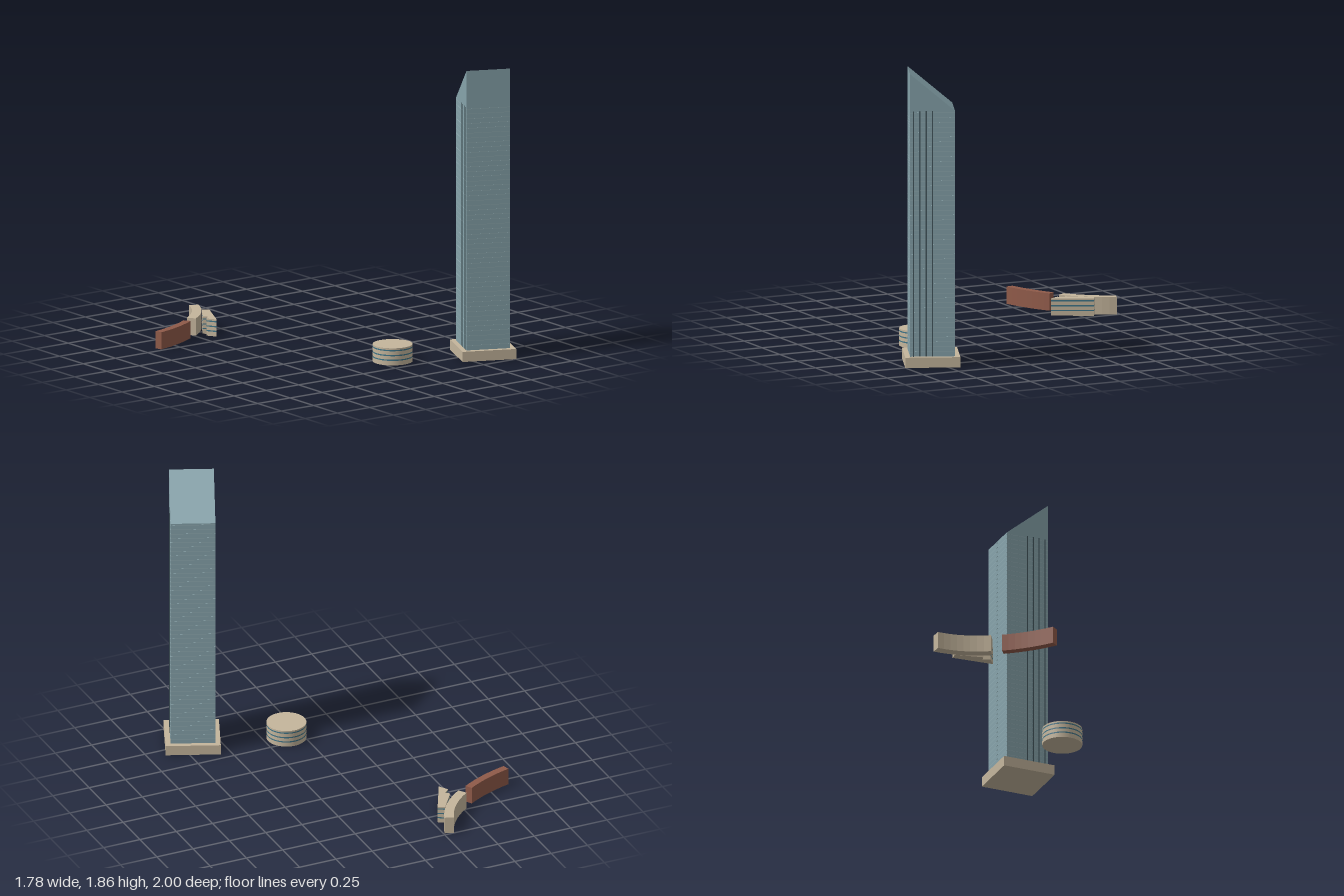
import * as THREE from 'three';

const mat = (color) => new THREE.MeshStandardMaterial({ color });
const stone = mat(0xc4b59c);
const glass = mat(0x86a3ab);
const bandGlass = mat(0x3f7488);
const brick = mat(0x8f5a49);
const fin = mat(0x43575e);
const floorLine = mat(0x93adb3);

function add(parent, name, geometry, material, x = 0, y = 0, z = 0) {
  const mesh = new THREE.Mesh(geometry, material);
  mesh.name = name;
  mesh.position.set(x, y, z);
  parent.add(mesh);
  return mesh;
}

// Upright prism over a ground plan given as [x, z] corners
function prism(plan, height) {
  const shape = new THREE.Shape(plan.map(([x, z]) => new THREE.Vector2(x, -z)));
  return new THREE.ExtrudeGeometry(shape, { depth: height, bevelEnabled: false }).rotateX(-Math.PI / 2);
}

// Ground plan of a wing following a gentle curve from a to b
function curvedPlan(a, c, b, width, steps = 8) {
  const curve = new THREE.QuadraticBezierCurve(new THREE.Vector2(...a), new THREE.Vector2(...c), new THREE.Vector2(...b));
  const near = [], far = [];
  for (let i = 0; i <= steps; i++) {
    const p = curve.getPoint(i / steps), t = curve.getTangent(i / steps);
    near.push([p.x - t.y * width / 2, p.y + t.x * width / 2]);
    far.unshift([p.x + t.y * width / 2, p.y - t.x * width / 2]);
  }
  return [...near, ...far];
}

// Alternating stone storeys and window bands; make(height) returns a slab resting on y = 0
function stackStoreys(name, make) {
  const group = new THREE.Group();
  group.name = name;
  const levels = [0, 0.029, 0.037, 0.059, 0.067, 0.091, 0.099, 0.11];
  for (let i = 0; i < levels.length - 1; i++) {
    const window = i % 2 === 1;
    add(group, window ? 'windowBand' : 'storey', make(levels[i + 1] - levels[i]), window ? bandGlass : stone, 0, levels[i]);
  }
  return group;
}

function createTower() {
  const tower = new THREE.Group();
  tower.name = 'tower';
  const half = 0.14, base = 0.065, eaves = 1.625, peak = 1.86;

  add(tower, 'podium', new THREE.BoxGeometry(0.345, base, 0.345), stone, 0, base / 2);

  // Shaft with a roof sloping down to the back
  const profile = new THREE.Shape([[-half, base], [half, base], [half, peak], [-half, eaves]]
    .map(([z, y]) => new THREE.Vector2(z, y)));
  const shaft = new THREE.ExtrudeGeometry(profile, { depth: 2 * half, bevelEnabled: false })
    .rotateY(-Math.PI / 2).translate(half, 0, 0);
  add(tower, 'shaft', shaft, glass);

  // Fine floor lines
  const line = new THREE.BoxGeometry(2 * half + 0.001, 0.003, 2 * half + 0.001);
  for (let y = base + 0.03; y < eaves - 0.01; y += 0.031) add(tower, 'floorLine', line, floorLine, 0, y);

  // Dark vertical fins on both side faces
  const strip = new THREE.BoxGeometry(0.004, eaves - base, 0.007);
  for (const side of [-1, 1]) {
    for (const z of [0.12, 0.08, 0.04, 0]) add(tower, 'verticalFin', strip, fin, side * half, (base + eaves) / 2, z);
  }

  tower.position.set(0.662, 0, 0.774);
  tower.rotation.y = -0.4;
  return tower;
}

export function createModel() {
  const model = new THREE.Group();
  model.name = 'towerComplex';
  model.add(createTower());

  // Round pavilion
  const pavilion = stackStoreys('roundPavilion', (h) => new THREE.CylinderGeometry(0.125, 0.125, h, 48).translate(0, h / 2, 0));
  pavilion.position.set(0.104, 0, 0.58);
  model.add(pavilion);

  // Curved wings
  add(model, 'brickWing', prism(curvedPlan([-0.885, -0.543], [-0.71, -0.586], [-0.565, -0.677], 0.048), 0.11), brick);
  add(model, 'stoneWing', prism(curvedPlan([-0.505, -0.715], [-0.35, -0.823], [-0.285, -0.99], 0.06), 0.11), stone);

  // Straight stepped wing with window bands
  const plan = [[-0.32, -0.855], [-0.28, -0.83], [-0.4, -0.59], [-0.435, -0.65], [-0.4, -0.685], [-0.425, -0.705]];
  model.add(stackStoreys('steppedWing', (h) => prism(plan, h)));

  return model;
}
